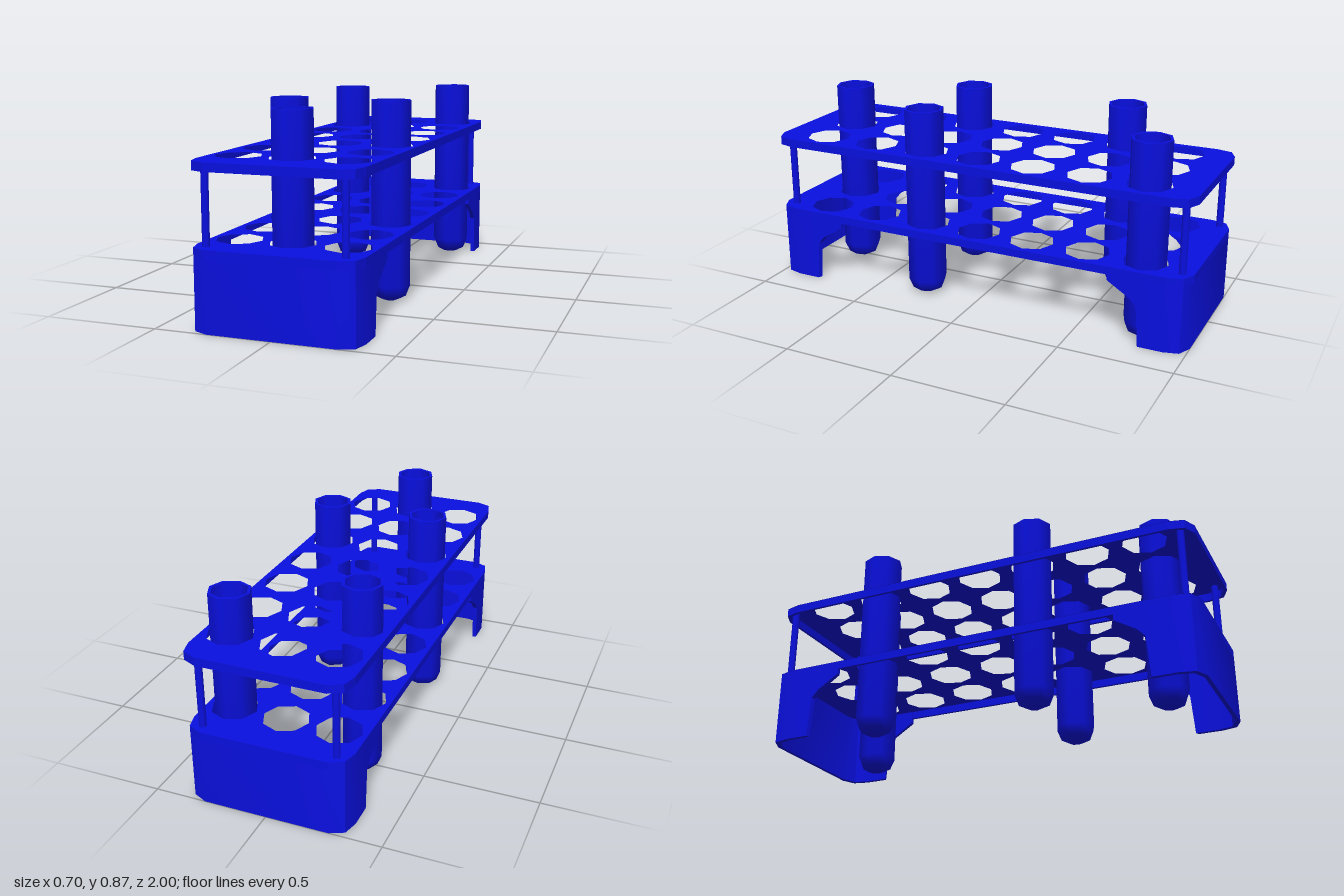
import * as THREE from 'three';
import { toCreasedNormals } from 'three/addons/utils/BufferGeometryUtils.js';

const blue = new THREE.MeshStandardMaterial({ color: 0x0a10e0 });
const blueSheet = new THREE.MeshStandardMaterial({ color: 0x0a10e0, side: THREE.DoubleSide });
const green = new THREE.MeshStandardMaterial({ color: 0x2bcc0c });

// One rounded corner of the rack outline, as [x, z], and the whole outline
const corner = [[0.352, 0.905], [0.335, 0.972], [0.275, 1]];
const end = [...corner, ...corner.map(([x, z]) => [-x, z]).reverse()];
const outline = [...end, ...end.map(([x, z]) => [-x, -z])];
const columns = [-0.233, 0, 0.233];
const rows = [-0.78, -0.521, -0.262, -0.004, 0.254, 0.513, 0.771];

function add(parent, name, geometry, material = blue) {
  const mesh = new THREE.Mesh(geometry, material);
  mesh.name = name;
  parent.add(mesh);
  return mesh;
}

const outlinePoints = (sx = 1, sz = 1) => outline.map(([x, z]) => new THREE.Vector2(x * sx, z * sz));

// Thin sheet with a grid of octagonal holes
function sheetGeometry(y) {
  const shape = new THREE.Shape(outlinePoints());
  for (const cx of columns) {
    for (const cz of rows) {
      const points = [];
      for (let i = 0; i < 8; i++) {
        const a = -i * Math.PI / 4;
        points.push(new THREE.Vector2(cx + 0.099 * Math.cos(a), cz + 0.099 * Math.sin(a)));
      }
      shape.holes.push(new THREE.Path(points));
    }
  }
  // turned to face up; the hole grid keeps its z order
  return new THREE.ShapeGeometry(shape).rotateX(Math.PI / 2).translate(0, y, 0);
}

// Narrow rim hanging from the edge of a sheet
function rimGeometry(bottom, top) {
  const shape = new THREE.Shape(outlinePoints());
  shape.holes.push(new THREE.Path(outlinePoints(0.965, 0.988)));
  const geometry = new THREE.ExtrudeGeometry(shape, { depth: top - bottom, bevelEnabled: false });
  return geometry.rotateX(Math.PI / 2).translate(0, top, 0);
}

// Thin U-shaped wall under one end, with cut-outs along its sides
function skirtGeometry() {
  const side = [
    [0.352, 0.653, 0.275], [0.352, 0.75, 0.215], [0.352, 0.783, 0.18], [0.352, 0.797, 0],
    ...corner.map(([x, z]) => [x, z, 0]),
  ];
  const path = [...side, ...side.map(([x, z, y]) => [-x, z, y]).reverse()];
  const top = 0.334, k = 0.95;
  const rings = path.map(([x, z, y]) => {
    const xi = x * k, zi = 0.653 + (z - 0.653) * k;
    return { ob: [x, y, z], ot: [x, top, z], ib: [xi, y, zi], it: [xi, top, zi] };
  });
  const positions = [];
  const quad = (a, b, c, d) => positions.push(...a, ...b, ...c, ...a, ...c, ...d);
  for (let i = 0; i < rings.length - 1; i++) {
    const a = rings[i], b = rings[i + 1];
    quad(a.ob, a.ot, b.ot, b.ob);
    quad(a.ib, b.ib, b.it, a.it);
    quad(a.ob, b.ob, b.ib, a.ib);
  }
  const first = rings[0], last = rings[rings.length - 1];
  quad(first.ob, first.ib, first.it, first.ot);
  quad(last.ib, last.ob, last.ot, last.it);
  const geometry = new THREE.BufferGeometry();
  geometry.setAttribute('position', new THREE.Float32BufferAttribute(positions, 3));
  return toCreasedNormals(geometry, 0.5);
}

// Eight-sided turned form from [radius, y] points
function turned(points) {
  const profile = points.map(([r, y]) => new THREE.Vector2(r, y));
  return toCreasedNormals(new THREE.LatheGeometry(profile, 8), 0.9);
}

export function createModel() {
  const model = new THREE.Group();
  model.name = 'testTubeRack';

  // Rack: two perforated trays and the end skirts
  const rack = new THREE.Group();
  rack.name = 'rack';
  model.add(rack);
  for (const [name, bottom, top] of [['upper', 0.637, 0.675], ['lower', 0.3, 0.336]]) {
    add(rack, name + 'Sheet', sheetGeometry(top), blueSheet);
    add(rack, name + 'Rim', rimGeometry(bottom, top - 0.001));
  }
  const skirt = skirtGeometry();
  add(rack, 'frontSkirt', skirt);
  add(rack, 'backSkirt', skirt).rotation.y = Math.PI;

  // Corner posts between the trays
  const post = new THREE.CylinderGeometry(0.016, 0.016, 0.339, 8, 1, true);
  for (const x of [-0.294, 0.286]) {
    for (const z of [-0.952, 0.943]) {
      add(rack, 'cornerPost', post).position.set(x, 0.5055, z);
    }
  }

  // Hollow tubes with rounded bottoms: x, z, colour of the liquid
  const tube = turned([
    [0, 0], [0.034, 0.003], [0.07, 0.022], [0.089, 0.07], [0.089, 0.87],
    [0.076, 0.87], [0.076, 0.075], [0.058, 0.035], [0, 0.018],
  ]);
  const liquid = turned([[0, 0.022], [0.055, 0.038], [0.074, 0.078], [0.074, 0.4], [0, 0.4]]);
  const tubes = [
    [0.226, -0.78, green], [-0.226, -0.519, green], [-0.236, 0.256, green],
    [0.236, 0.262, blue], [0.001, 0.77, blue],
  ];
  for (const [x, z, material] of tubes) {
    const group = new THREE.Group();
    group.name = 'testTube';
    group.position.set(x, 0, z);
    add(group, 'tubeWall', tube);
    add(group, 'liquid', liquid, material);
    model.add(group);
  }
  return model;
}
